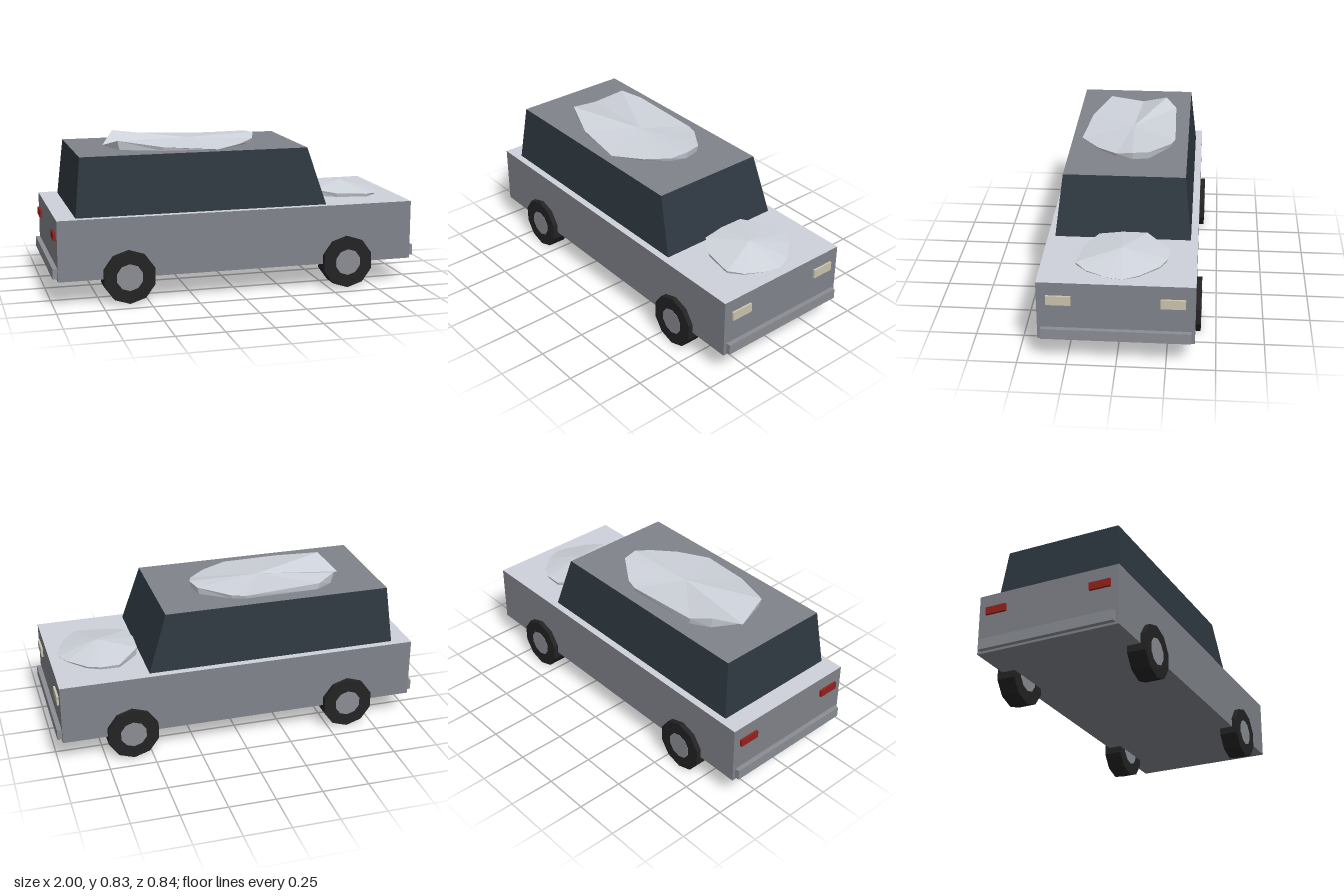
import * as THREE from 'three';

const mat = (color, extra = {}) => new THREE.MeshStandardMaterial({ color, flatShading: true, ...extra });

export function createModel() {
  const car = new THREE.Group();
  const paint = mat(0x80838a), glass = mat(0x2e3840), snow = mat(0xced2da, { side: THREE.DoubleSide });
  const rubber = mat(0x232324), metal = mat(0x8a8d93), lamp = mat(0xcac4ae), red = mat(0x96201a);

  const add = (name, geometry, material, x = 0, y = 0, z = 0) => {
    const mesh = new THREE.Mesh(geometry, material);
    mesh.name = name;
    mesh.position.set(x, y, z);
    car.add(mesh);
    return mesh;
  };
  const box = (name, w, h, d, material, x, y, z) =>
    add(name, new THREE.BoxGeometry(w, h, d), material, x, y, z);

  // Body with a snow-covered top face
  box('body', 1.95, 0.322, 0.786, [paint, paint, snow, paint, paint, paint], 0, 0.296, 0);

  // Cabin: tapered box, glass sides and painted roof
  const cabin = new THREE.BoxGeometry(1, 1, 1);
  const p = cabin.attributes.position;
  for (let i = 0; i < p.count; i++) {
    const top = p.getY(i) > 0, front = p.getX(i) > 0;
    p.setXYZ(i,
      front ? (top ? 0.393 : 0.493) : (top ? -0.84 : -0.872),
      top ? 0.768 : 0.457,
      Math.sign(p.getZ(i)) * (top ? 0.32 : 0.355));
  }
  cabin.computeVertexNormals();
  add('cabin', cabin, [glass, glass, paint, glass, glass, glass]);

  // Wheels and hubs
  const tyre = new THREE.CylinderGeometry(0.142, 0.142, 0.1, 10).rotateX(Math.PI / 2);
  const hub = new THREE.CylinderGeometry(0.072, 0.072, 0.104, 10).rotateX(Math.PI / 2);
  for (const x of [-0.605, 0.602]) {
    for (const z of [-0.37, 0.37]) {
      add('wheel', tyre, rubber, x, 0.142, z);
      add('hub', hub, metal, x, 0.142, z);
    }
  }

  // Bumpers and lights
  for (const s of [-1, 1]) {
    box('bumper', 0.03, 0.057, 0.75, metal, s * 0.985, 0.176, 0);
    box('headlight', 0.02, 0.05, 0.124, lamp, 0.976, 0.361, s * 0.283);
    box('taillight', 0.02, 0.04, 0.115, red, -0.978, 0.364, s * 0.293);
  }

  // Snow mound: a faceted fan from the crown to a rim, with a skirt down to the base
  const mound = (name, baseY, crown, rim) => {
    const pos = [];
    const foot = ([x, , z]) => [
      crown[0] + (x - crown[0]) * 0.97, baseY - 0.002, crown[2] + (z - crown[2]) * 0.97];
    rim.forEach((a, i) => {
      const b = rim[(i + 1) % rim.length];
      pos.push(...crown, ...b, ...a);
      pos.push(...a, ...b, ...foot(a), ...b, ...foot(b), ...foot(a));
    });
    const g = new THREE.BufferGeometry();
    g.setAttribute('position', new THREE.Float32BufferAttribute(pos, 3));
    g.computeVertexNormals();
    add(name, g, snow);
  };
  mound('roofSnow', 0.768, [-0.2, 0.8, -0.01], [
    [-0.66, 0.77, -0.04], [-0.58, 0.83, -0.18], [-0.48, 0.805, -0.24], [-0.06, 0.787, -0.25],
    [0.01, 0.79, -0.23], [0.17, 0.808, -0.12], [0.19, 0.81, -0.03], [0.16, 0.79, 0.06],
    [0.06, 0.78, 0.17], [-0.09, 0.77, 0.268], [-0.38, 0.788, 0.235], [-0.61, 0.818, 0.145]]);
  mound('bonnetSnow', 0.457, [0.71, 0.52, -0.01], [
    [0.51, 0.504, -0.13], [0.63, 0.476, -0.25], [0.73, 0.472, -0.245], [0.8, 0.468, -0.21],
    [0.89, 0.464, -0.11], [0.925, 0.46, -0.03], [0.91, 0.46, 0.05], [0.855, 0.465, 0.16],
    [0.79, 0.473, 0.218], [0.62, 0.478, 0.19], [0.515, 0.492, 0.12], [0.505, 0.502, 0]]);

  return car;
}
